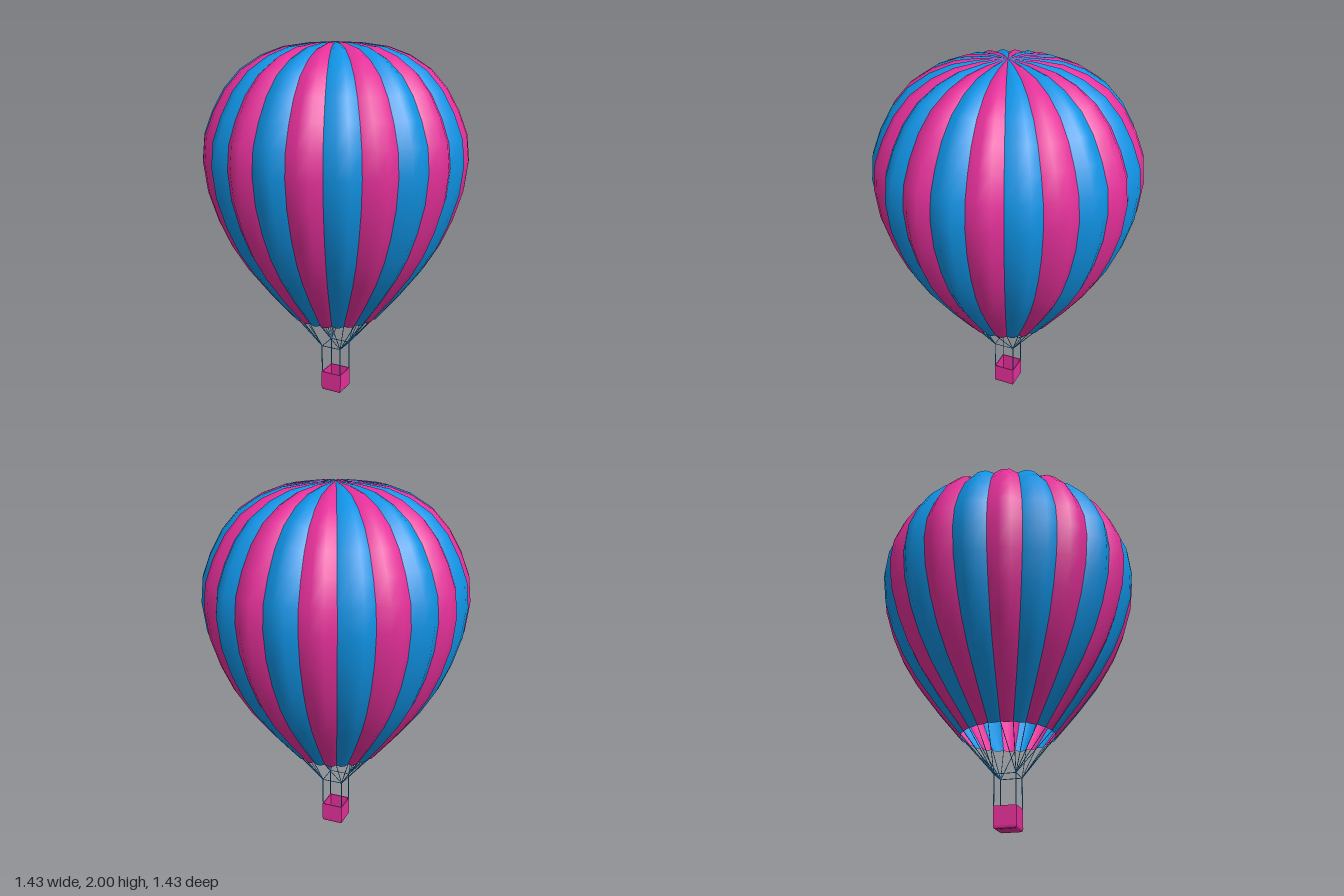
import * as THREE from 'three';

const GORES = 24;
const STEP = (Math.PI * 2) / GORES;
const BULGE = 0.038; // how far a gore swells past its seams, relative to radius

// Envelope outline [radius, height] at the crown of a gore, top to mouth
const PROFILE = [
  [0, 2.0], [0.143, 1.994], [0.277, 1.975], [0.393, 1.932], [0.505, 1.86],
  [0.59, 1.764], [0.655, 1.648], [0.702, 1.526], [0.716, 1.393], [0.697, 1.234],
  [0.648, 1.075], [0.585, 0.932], [0.505, 0.8], [0.388, 0.646], [0.255, 0.487],
].map(([r, y]) => new THREE.Vector2(r, y));

const blue = new THREE.MeshStandardMaterial({ color: 0x1093e4, side: THREE.DoubleSide });
const pink = new THREE.MeshStandardMaterial({ color: 0xe5309a, side: THREE.DoubleSide });
const basketPink = new THREE.MeshStandardMaterial({ color: 0xe5309a, flatShading: true });
const ropeBlue = new THREE.MeshStandardMaterial({ color: 0x1093e4 });

// Point on the envelope: profile row, swell 0 (seam) to 1 (crown), angle from +z towards +x
function envelopePoint(row, swell, angle) {
  const p = PROFILE[row];
  const before = PROFILE[Math.max(row - 1, 0)];
  const after = PROFILE[Math.min(row + 1, PROFILE.length - 1)];
  const along = after.clone().sub(before).normalize();
  const inset = BULGE * p.x * (1 - swell);
  const r = p.x + along.y * inset; // outward normal is (-along.y, along.x)
  const y = p.y - along.x * inset;
  return new THREE.Vector3(r * Math.sin(angle), y, r * Math.cos(angle));
}

// One fabric panel between two seams
function makeGore(index) {
  const columns = 3;
  const rows = PROFILE.length - 1;
  const geometry = new THREE.PlaneGeometry(1, 1, columns, rows);
  const position = geometry.attributes.position;
  for (let i = 0; i < position.count; i++) {
    const u = (i % (columns + 1)) / columns;
    const row = Math.floor(i / (columns + 1));
    const swell = Math.sin(Math.PI * u) / Math.sin(Math.PI / 3);
    const p = envelopePoint(row, swell, (index + u) * STEP);
    position.setXYZ(i, p.x, p.y, p.z);
  }
  geometry.computeVertexNormals();
  const mesh = new THREE.Mesh(geometry, index % 2 ? pink : blue);
  mesh.name = 'envelopeGore';
  return mesh;
}

function makeRope(name, from, to, radius = 0.002) {
  const geometry = new THREE.CylinderGeometry(radius, radius, from.distanceTo(to), 6);
  const mesh = new THREE.Mesh(geometry, ropeBlue);
  mesh.name = name;
  mesh.position.copy(from).lerp(to, 0.5);
  mesh.quaternion.setFromUnitVectors(
    new THREE.Vector3(0, 1, 0), to.clone().sub(from).normalize());
  return mesh;
}

export function createModel() {
  const model = new THREE.Group();
  model.name = 'hotAirBalloon';

  // Striped envelope, open at the mouth
  const envelope = new THREE.Group();
  envelope.name = 'envelope';
  for (let i = 0; i < GORES; i++) envelope.add(makeGore(i));
  model.add(envelope);

  // Square basket: a four-sided lathe with rounded bottom edge and hollow inside
  const outline = [
    [0, 0], [0.07, 0], [0.079, 0.003], [0.085, 0.009], [0.087, 0.018],
    [0.087, 0.117], [0.08, 0.117], [0.08, 0.012], [0, 0.012],
  ].map(([r, y]) => new THREE.Vector2(r, y));
  const cornerAngle = STEP * 3.5;
  const basket = new THREE.Mesh(new THREE.LatheGeometry(outline, 4), basketPink);
  basket.name = 'basket';
  basket.rotation.y = cornerAngle;
  model.add(basket);

  // Rigging: uprights, square load frame and six ropes fanning out from each corner
  const rigging = new THREE.Group();
  rigging.name = 'rigging';
  const corner = (k, y) => {
    const a = cornerAngle + (k * Math.PI) / 2;
    return new THREE.Vector3(0.083 * Math.sin(a), y, 0.083 * Math.cos(a));
  };
  for (let k = 0; k < 4; k++) {
    const top = corner(k, 0.28);
    rigging.add(makeRope('upright', corner(k, 0.1), top, 0.003));
    rigging.add(makeRope('loadFrameBar', top, corner(k + 1, 0.28)));
    for (let j = 0; j < 6; j++) {
      const seam = (1 + j + k * 6) * STEP;
      rigging.add(makeRope('mouthRope', top, envelopePoint(PROFILE.length - 1, 0, seam)));
    }
  }
  model.add(rigging);

  return model;
}
